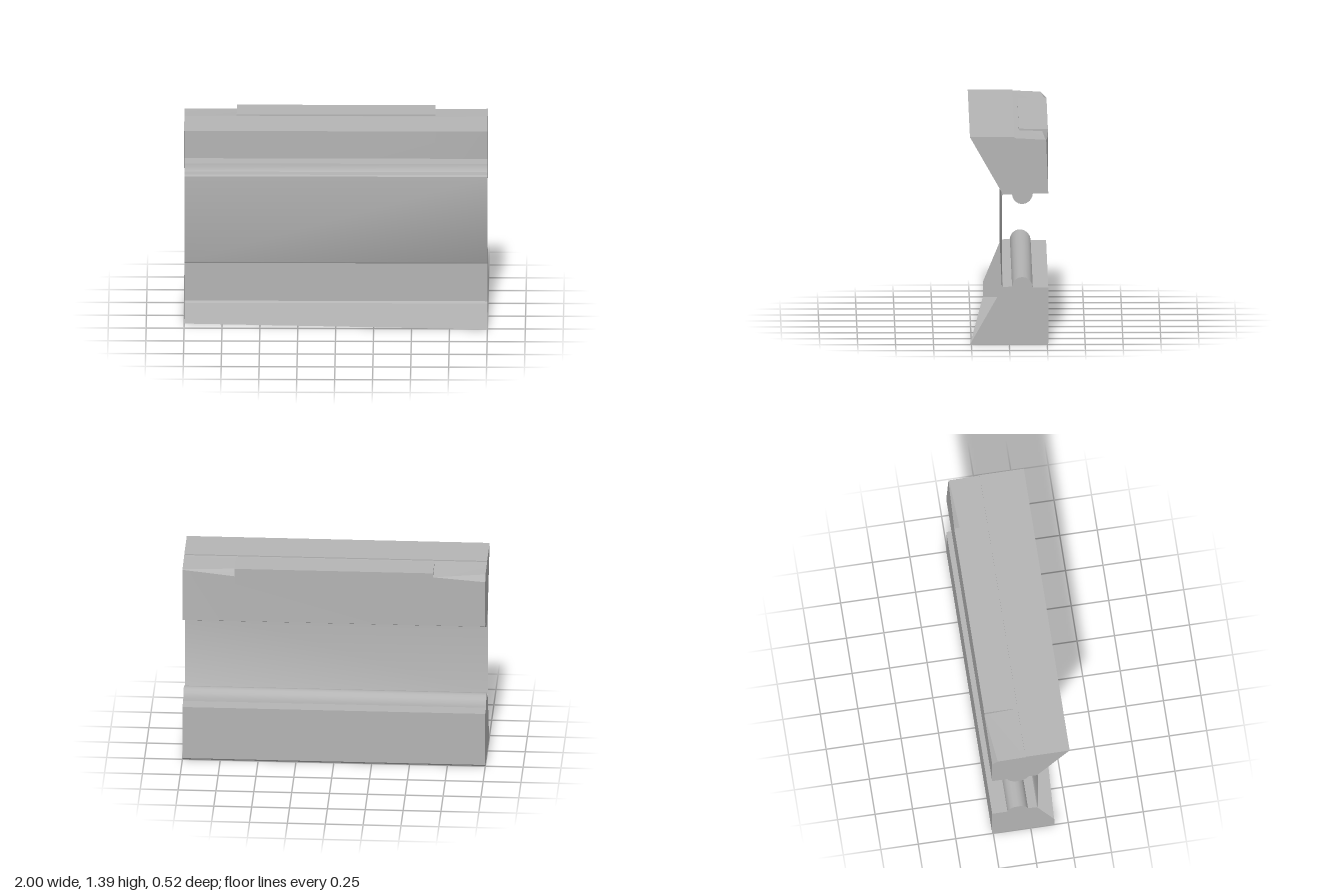
import * as THREE from 'three';
import { toCreasedNormals } from 'three/addons/utils/BufferGeometryUtils.js';

const steel = new THREE.MeshStandardMaterial({ color: 0xb4b4b4, side: THREE.DoubleSide });
steel.name = 'grey metal';

// Mesh from flat polygons, each a list of [x, y, z] corners
function sheet(name, polygons) {
  const pos = [];
  for (const p of polygons)
    for (let i = 1; i < p.length - 1; i++) pos.push(...p[0], ...p[i], ...p[i + 1]);
  const g = new THREE.BufferGeometry();
  g.setAttribute('position', new THREE.Float32BufferAttribute(pos, 3));
  const mesh = new THREE.Mesh(toCreasedNormals(g, 0.6), steel);
  mesh.name = name;
  return mesh;
}

// Sweep a [z, y] section from x = -1 to x = 1; the left section may differ
function sweep(name, section, start = section) {
  const quads = [];
  for (let i = 0; i < section.length - 1; i++) {
    const at = (x, [z, y]) => [x, y, z];
    quads.push([at(-1, start[i]), at(-1, start[i + 1]), at(1, section[i + 1]), at(1, section[i])]);
  }
  return sheet(name, quads);
}

// End plate with a [z, y] outline, at x = -1 or x = 1
function endPlate(name, side, outline) {
  const shape = new THREE.Shape(outline.map(([z, y]) => new THREE.Vector2(-side * z, y)));
  const mesh = new THREE.Mesh(new THREE.ShapeGeometry(shape), steel);
  mesh.rotation.y = side * Math.PI / 2;
  mesh.position.x = side;
  mesh.name = name;
  return mesh;
}

export function createModel() {
  const model = new THREE.Group();

  // Rounded rib section, running from the back to the front
  const rib = [[-0.257, 0.38], [-0.155, 0.38], [-0.15, 0.405], [-0.134, 0.43], [-0.11, 0.446],
    [-0.085, 0.451], [-0.06, 0.447], [-0.037, 0.431], [-0.022, 0.408], [-0.018, 0.388]];
  const upperRib = rib.map(([z, y]) => [z, 1.389 - y]).reverse();

  // Lower bar: floor, back wall and ribbed top, open at the front
  const back = [[-0.247, 0], [-0.257, 0.012], ...rib, [0.042, 0.383]];
  const lower = [[0.26, 0], ...back];
  const lowerStart = [[0.16, 0], ...back];
  model.add(sweep('lowerBarSkin', lower, lowerStart));
  model.add(endPlate('lowerLeftEnd', 1, lower));
  model.add(endPlate('lowerRightEnd', -1, [[0.16, 0.1], ...lowerStart]));

  // Thin web plate between the bars, with turned edges
  model.add(sweep('webPlate', [[0.042, 0.383], [0.05, 0.395], [0.05, 0.992], [0.042, 1.002]]));

  // Upper bar: ribbed underside
  const under = [[0.042, 1.002], ...upperRib];
  model.add(sweep('upperBarUnderside', under));

  // Upper bar: back wall, with a top edge that changes along the bar
  const s = 0.655, zb = -0.257;
  const runs = [
    [[-1, 1.33, zb], [-s, 1.357, zb]],
    [[-s, 1.385, zb], [s, 1.385, zb]],
    [[s, 1.33, -0.254], [1, 1.363, -0.243]],
  ];
  model.add(sheet('upperBarBack', runs.map(([a, b]) => [[a[0], 1.009, zb], a, b, [b[0], 1.009, zb]])));

  // Upper bar: front land and the small step behind it
  model.add(sweep('upperBarLand', [[-0.065, 1.376], [-0.035, 1.378], [-0.035, 1.385], [0.26, 1.385]]));

  // Sunken shelves at both ends, with tapering back bevels
  model.add(sheet('endShelves', [
    [[-1, 1.376, -0.065], [-s, 1.376, -0.065], [-s, 1.357, zb], [-1, 1.37, -0.22]],
    [[-1, 1.37, -0.22], [-s, 1.357, zb], [-1, 1.33, zb]],
    [[s, 1.376, -0.065], [1, 1.376, -0.065], [1, 1.367, -0.238], [s, 1.37, -0.22]],
    [[s, 1.37, -0.22], [1, 1.367, -0.238], [1, 1.363, -0.243], [s, 1.33, -0.254]],
  ]));

  // Raised pad in the middle
  model.add(sheet('raisedPad', [
    [[-s, 1.386, -0.065], [s, 1.386, -0.065], [s, 1.385, zb], [-s, 1.385, zb]],
    [[-s, 1.376, -0.065], [s, 1.376, -0.065], [s, 1.386, -0.065], [-s, 1.386, -0.065]],
    [[-s, 1.376, -0.065], [-s, 1.386, -0.065], [-s, 1.385, zb], [-s, 1.357, zb]],
    [[s, 1.37, -0.22], [s, 1.33, -0.254], [s, 1.385, zb], [s, 1.386, -0.065], [s, 1.376, -0.065]],
  ]));

  // Upper bar: end plates
  const top = [[-0.035, 1.378], [-0.035, 1.385], [0.26, 1.385]];
  model.add(endPlate('upperLeftEnd', 1, [...under, [-0.243, 1.363], [-0.238, 1.367], ...top]));
  model.add(endPlate('upperRightEnd', -1, [...under, [zb, 1.33], [-0.22, 1.37], ...top]));

  return model;
}
